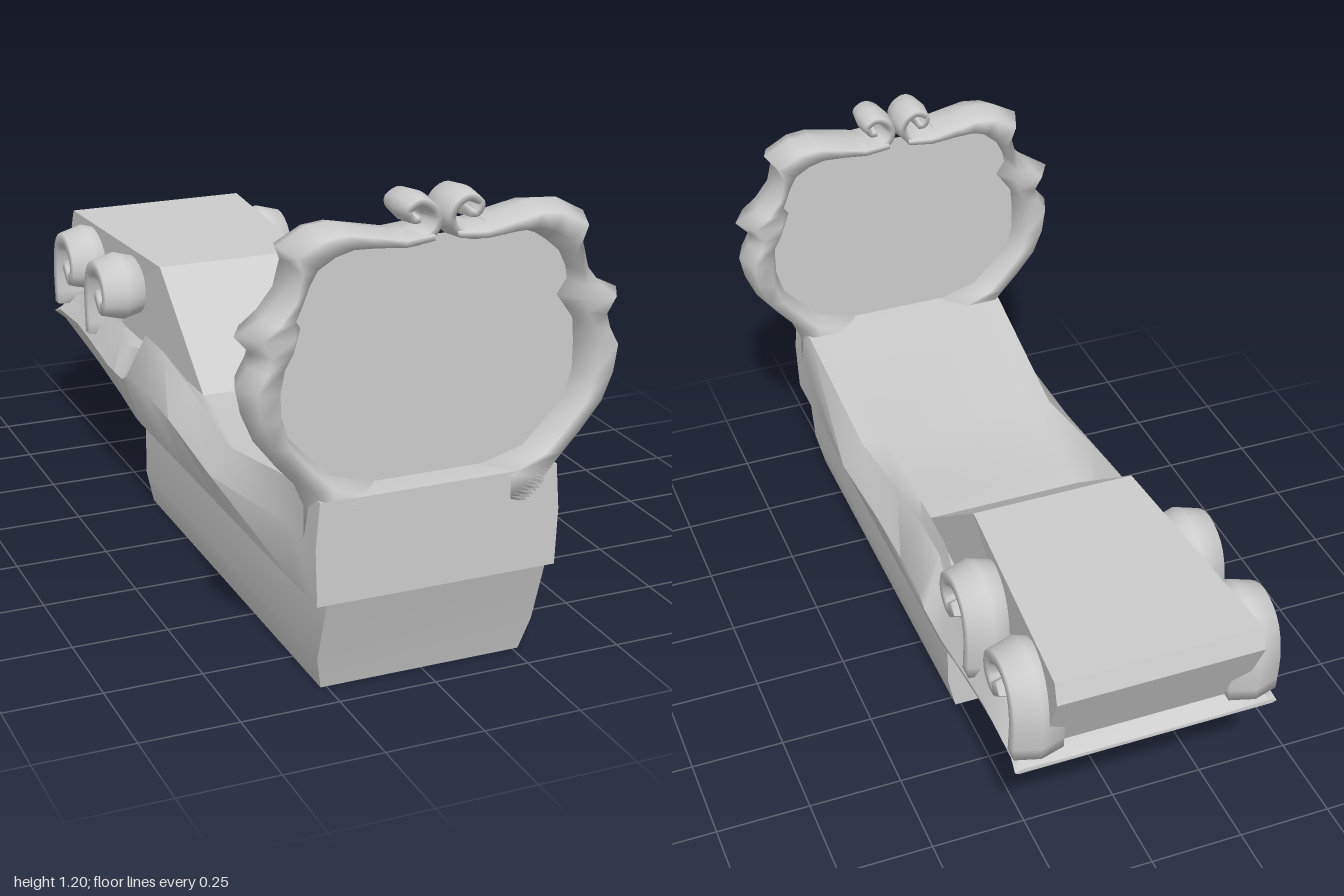
import * as THREE from 'three';
import { toCreasedNormals } from 'three/addons/utils/BufferGeometryUtils.js';

const plaster = new THREE.MeshStandardMaterial({ color: 0xcccccc, side: THREE.DoubleSide });
plaster.name = 'pale grey';

// Skin a row of equal-length rings (counter-clockwise about the travel direction), with end caps
function loft(rings, crease) {
  const n = rings[0].length, last = (rings.length - 1) * n, index = [];
  for (let i = 0; i < rings.length - 1; i++) {
    for (let j = 0; j < n; j++) {
      const a = i * n + j, b = i * n + (j + 1) % n;
      index.push(a, b, b + n, a, b + n, a + n);
    }
  }
  for (let j = 1; j < n - 1; j++) index.push(0, j + 1, j, last, last + j, last + j + 1);
  const g = new THREE.BufferGeometry();
  g.setAttribute('position', new THREE.Float32BufferAttribute(rings.flat(2), 3));
  g.setIndex(index);
  g.computeVertexNormals();
  return crease ? toCreasedNormals(g, crease) : g;
}

// Hexagonal moulding between an outer and an inner line: pairs are [outerX, outerY, innerX, innerY]
function moulding(pairs, half) {
  return loft(pairs.map(([ox, oy, ix, iy]) => {
    const at = (t, w) => [ox + (ix - ox) * t, oy + (iy - oy) * t, w];
    return [at(0, 0), at(0.25, half), at(0.75, half), at(1, 0), at(0.75, -half), at(0.25, -half)];
  }));
}

// Outer and inner lines of a band that follows a curve
function bandPairs(points, r0, r1, steps = 24) {
  const curve = new THREE.CatmullRomCurve3(points.map(([x, y]) => new THREE.Vector3(x, y, 0)));
  return Array.from({ length: steps + 1 }, (_, i) => {
    const t = i / steps, p = curve.getPoint(t), d = curve.getTangent(t), r = r0 + (r1 - r0) * t;
    return [p.x - d.y * r, p.y + d.x * r, p.x + d.y * r, p.y - d.x * r];
  });
}

const mirrorPairs = pairs => pairs.map(([a, b, c, d]) => [-a, b, -c, d]).reverse();

export function createModel() {
  const model = new THREE.Group();
  const add = (name, geometry) => {
    const mesh = new THREE.Mesh(geometry, plaster);
    mesh.name = name;
    model.add(mesh);
    return mesh;
  };

  // Plinth: [y, half width, back z, front z]
  add('base', loft([
    [0, 0.265, -0.28, 0.92], [0.09, 0.285, -0.28, 0.945], [0.26, 0.285, -0.28, 1],
  ].map(([y, x, b, f]) => [[x, y, f], [x, y, b], [-x, y, b], [-x, y, f]]), 0.6));

  // Body with seat and side rails: [z, bottom y, bottom x, side x, side y, rail top, rail x, inner x, seat y]
  const stations = [
    [-0.94, 0.38, 0.34, 0.35, 0.385, 0.395, 0.33, 0.25, 0.39],
    [-0.90, 0.372, 0.33, 0.345, 0.40, 0.44, 0.30, 0.23, 0.42],
    [-0.72, 0.339, 0.32, 0.345, 0.41, 0.505, 0.29, 0.22, 0.42],
    [-0.62, 0.32, 0.315, 0.345, 0.40, 0.50, 0.29, 0.22, 0.42],
    [-0.42, 0.282, 0.31, 0.35, 0.38, 0.475, 0.30, 0.22, 0.42],
    [-0.36, 0.27, 0.31, 0.35, 0.38, 0.45, 0.30, 0.22, 0.42],
    [-0.29, 0.257, 0.31, 0.35, 0.38, 0.46, 0.29, 0.23, 0.42],
    [-0.25, 0.255, 0.31, 0.35, 0.40, 0.515, 0.29, 0.25, 0.42],
    [-0.10, 0.255, 0.31, 0.35, 0.41, 0.515, 0.29, 0.22, 0.42],
    [0.10, 0.255, 0.31, 0.35, 0.40, 0.485, 0.29, 0.22, 0.42],
    [0.41, 0.255, 0.31, 0.35, 0.36, 0.425, 0.29, 0.22, 0.42],
    [0.86, 0.255, 0.31, 0.315, 0.40, 0.515, 0.305, 0.25, 0.513],
    [1.00, 0.255, 0.31, 0.315, 0.40, 0.515, 0.305, 0.25, 0.513],
  ];
  add('body', loft(stations.map(([z, yb, xb, xs, ys, yt, xt, xi, yi]) => [
    [0, yb, z], [xb, yb, z], [xs, ys, z], [xt, yt, z], [xi, yi, z],
    [-xi, yi, z], [-xt, yt, z], [-xs, ys, z], [-xb, yb, z],
  ]), 0.8));

  // Raised rear block, widening towards the back
  const side = new THREE.Shape([
    [-0.02, 0.42], [0.32, 0.685], [0.98, 0.685], [1, 0.63], [0.9, 0.41],
  ].map(p => new THREE.Vector2(...p)));
  const block = new THREE.ExtrudeGeometry(side, { depth: 2, bevelEnabled: false });
  block.translate(0, 0, -1).rotateY(Math.PI / 2);
  const bp = block.attributes.position;
  for (let i = 0; i < bp.count; i++) {
    const t = Math.max(0, (-bp.getZ(i) - 0.32) / 0.68);
    bp.setX(i, bp.getX(i) * (0.22 + 0.05 * t));
  }
  block.computeVertexNormals();
  add('rearBlock', block);

  // Two scrolls on each rail
  for (const [shift, lift] of [[0, 0], [0.31, 0]]) {
    const scroll = moulding(bandPairs([
      [0.60, 0.42], [0.607, 0.54], [0.58, 0.615], [0.515, 0.643],
      [0.45, 0.61], [0.438, 0.555], [0.475, 0.53], [0.52, 0.565],
    ], 0.038, 0.034), 0.065);
    scroll.translate(shift, lift, 0).rotateY(Math.PI / 2);
    for (const s of [1, -1]) add('railScroll', scroll).position.x = s * 0.285;
  }

  // Ornate upright frame, right half from crest to foot, mirrored
  const frame = [
    [0.03, 1.12, 0.03, 1.095], [0.10, 1.115, 0.10, 1.085], [0.18, 1.135, 0.17, 1.088],
    [0.25, 1.153, 0.22, 1.085], [0.31, 1.15, 0.26, 1.07], [0.385, 1.11, 0.29, 1.05],
    [0.355, 1.07, 0.325, 1.02], [0.37, 1.0, 0.345, 0.98], [0.42, 0.945, 0.35, 0.95],
    [0.485, 0.913, 0.325, 0.913], [0.447, 0.87, 0.345, 0.885], [0.452, 0.835, 0.37, 0.85],
    [0.483, 0.795, 0.375, 0.79], [0.47, 0.73, 0.375, 0.72], [0.44, 0.66, 0.355, 0.655],
    [0.385, 0.59, 0.30, 0.595], [0.34, 0.54, 0.25, 0.545], [0.315, 0.48, 0.14, 0.515],
    [0.315, 0.40, 0.14, 0.46],
  ];
  const crest = bandPairs([
    [0.062, 1.15], [0.08, 1.15], [0.09, 1.172], [0.062, 1.19], [0.03, 1.175],
    [0.016, 1.145], [0.03, 1.115], [0.07, 1.1], [0.13, 1.103],
  ], 0.014, 0.018, 30);
  for (const flip of [p => p, mirrorPairs]) {
    add('frameSide', moulding(flip(frame), 0.07)).position.z = 0.93;
    add('crestScroll', moulding(flip(crest), 0.06)).position.z = 0.93;
  }

  // Flat panel filling the frame
  const rim = frame.slice(0, 18).map(p => [p[2], p[3]]);
  const outline = [...rim, ...rim.map(([x, y]) => [-x, y]).reverse()];
  const panel = new THREE.ShapeGeometry(new THREE.Shape(outline.map(p => new THREE.Vector2(...p))));
  add('panel', panel).position.z = 0.93;

  return model;
}
